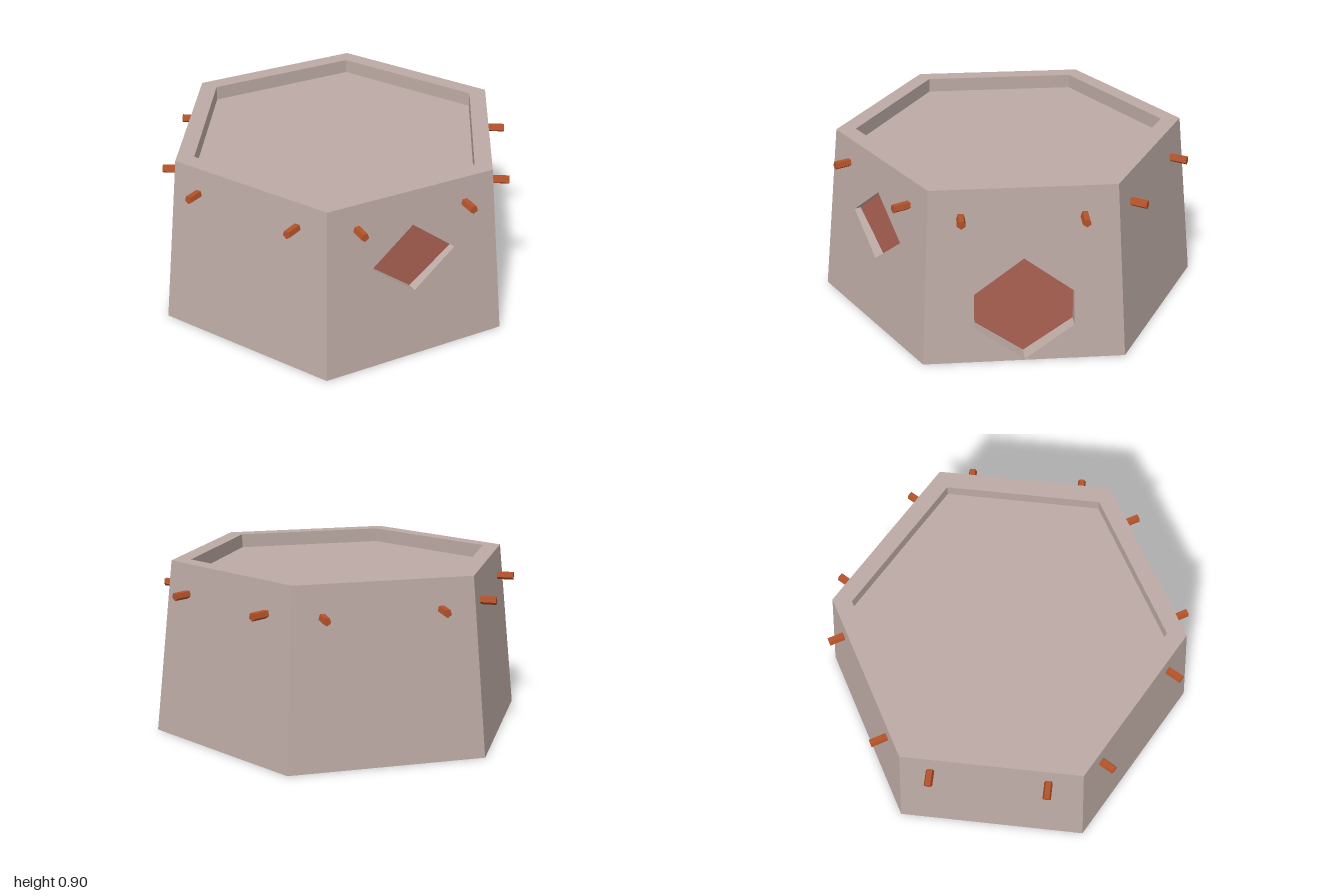
import * as THREE from 'three';

const HEIGHT = 0.9;
const APOTHEM = Math.cos(Math.PI / 6);
const CORE = 0.9 * APOTHEM; // vertical plane of the window panels
const taper = (y) => 1 - (0.1 * y) / HEIGHT; // hexagon radius at height y

const diamond = [[0, 0.36], [0.23, 0.54], [0, 0.72], [-0.23, 0.54]];
const hexagon = [[0, 0.004], [0.245, 0.18], [0.245, 0.36], [0, 0.54], [-0.245, 0.36], [-0.245, 0.18]];

export function createModel() {
  const model = new THREE.Group();
  const stone = new THREE.MeshStandardMaterial({ color: 0xbcaaa4 });
  stone.name = 'stone';
  const clay = new THREE.MeshStandardMaterial({ color: 0xad6253 });
  clay.name = 'clay';
  const rust = new THREE.MeshStandardMaterial({ color: 0xb4532a });
  rust.name = 'rust';

  function add(geometry, material, name, parent = model) {
    const flat = geometry.index ? geometry.toNonIndexed() : geometry;
    flat.computeVertexNormals();
    const mesh = new THREE.Mesh(flat, material);
    mesh.name = name;
    parent.add(mesh);
    return mesh;
  }
  const toPoints = (list) => list.map(([u, y]) => new THREE.Vector2(u, y));
  const lathe = (list) => new THREE.LatheGeometry(toPoints(list), 6);

  // Base, and rim with sunken top
  add(lathe([[0, 0], [1, 0]]), stone, 'base');
  add(lathe([[0.9, HEIGHT], [0.8, HEIGHT], [0.8, 0.825], [0, 0.825]]), stone, 'sunkenTop');

  // Sloping walls, with windows in two of them
  const openings = [diamond, hexagon];
  for (let i = 0; i < 6; i++) {
    const face = new THREE.Group();
    face.name = 'wall' + (i + 1);
    face.rotation.y = Math.PI / 6 + (i * Math.PI) / 3;
    model.add(face);

    const shape = new THREE.Shape(toPoints([[-0.5, 0], [0.5, 0], [0.45, HEIGHT], [-0.45, HEIGHT]]));
    const opening = openings[i];
    if (opening) shape.holes.push(new THREE.Path(toPoints(opening)));
    const wall = new THREE.ShapeGeometry(shape);
    const pos = wall.attributes.position;
    for (let k = 0; k < pos.count; k++) pos.setZ(k, APOTHEM * taper(pos.getY(k)));
    add(wall, stone, 'wallSurface', face);

    if (opening) {
      // Window reveal from the slope back to the upright panel
      const corners = [];
      opening.forEach(([u, y], k) => {
        const [u2, y2] = opening[(k + 1) % opening.length];
        const o1 = [u, y, APOTHEM * taper(y)];
        const o2 = [u2, y2, APOTHEM * taper(y2)];
        const i1 = [u, y, CORE];
        const i2 = [u2, y2, CORE];
        corners.push(...o1, ...o2, ...i2, ...o1, ...i2, ...i1);
      });
      const reveal = new THREE.BufferGeometry();
      reveal.setAttribute('position', new THREE.Float32BufferAttribute(corners, 3));
      add(reveal, stone, 'windowReveal', face);

      const panel = new THREE.ShapeGeometry(new THREE.Shape(toPoints(opening)));
      panel.translate(0, 0, CORE);
      add(panel, clay, 'windowPanel', face);
    }
  }

  // Ring of five-sided pegs, two per wall, very slightly tilted
  const pegs = new THREE.Group();
  pegs.name = 'pegs';
  pegs.position.set(0.002, 0.757, -0.003);
  pegs.rotation.set(-0.018, -0.01, 0);
  model.add(pegs);
  for (let i = 0; i < 6; i++) {
    for (const side of [-1, 1]) {
      const peg = new THREE.CylinderGeometry(0.022, 0.022, 0.14, 5);
      peg.rotateX(Math.PI / 2);
      peg.translate(side * 0.295, 0, 0.808);
      peg.rotateY(Math.PI / 6 + (i * Math.PI) / 3);
      add(peg, rust, 'peg', pegs);
    }
  }
  return model;
}
